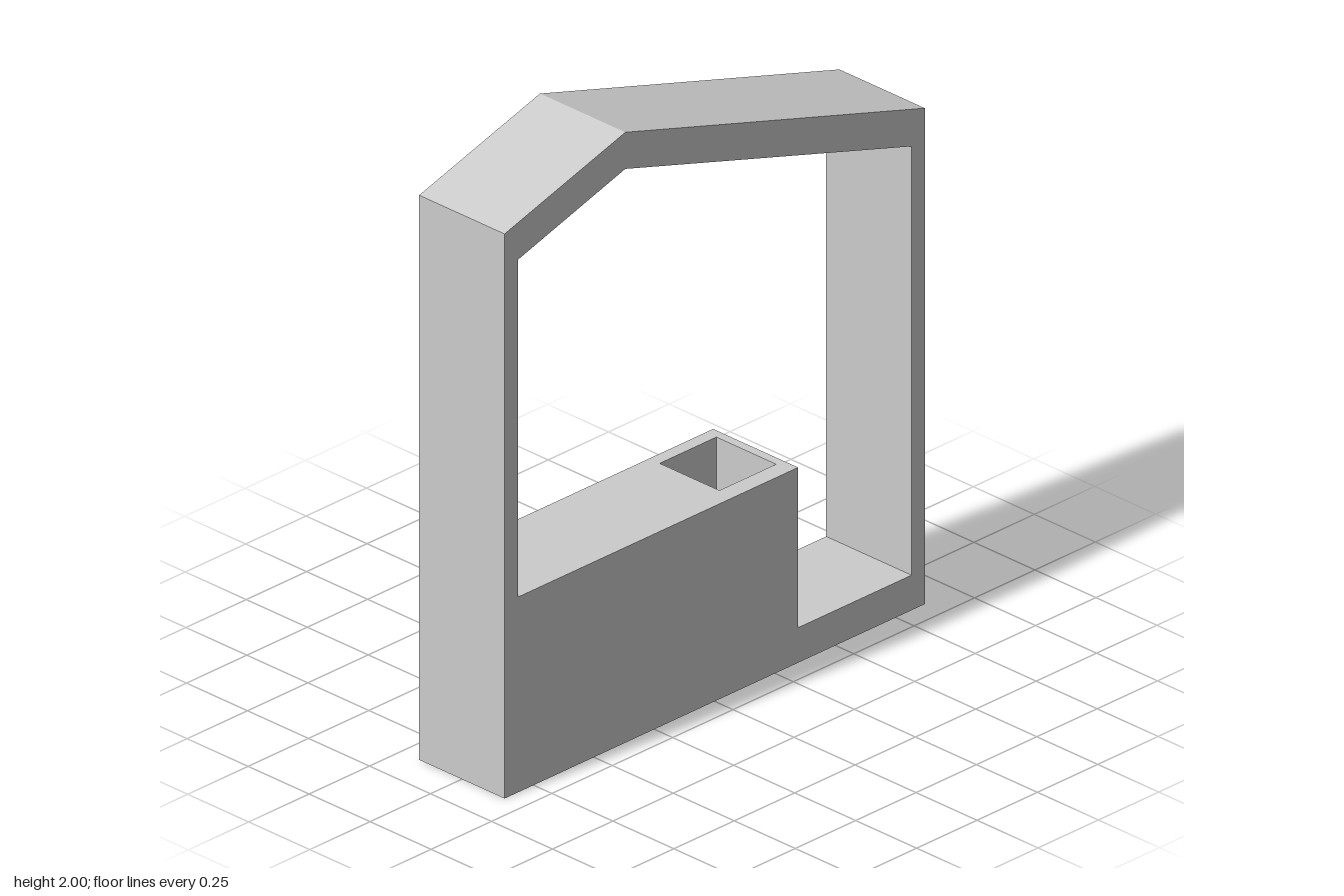
import * as THREE from 'three';

export function createModel() {
  const group = new THREE.Group();
  const mat = new THREE.MeshStandardMaterial({ color: 0xcccccc, flatShading: true });
  const HALF = 0.175, FLOOR = 0.115, TOP = 0.64;
  const BACK = -0.345, FRONT = 0.815;   // cabinet extent along z
  const CORE = -0.16;                   // face of the cabinet body behind its front frame

  const add = (name, geometry, x = 0, y = 0, z = 0) => {
    const mesh = new THREE.Mesh(geometry, mat);
    mesh.name = name;
    mesh.position.set(x, y, z);
    group.add(mesh);
    return mesh;
  };
  const points = list => list.map(([a, b]) => new THREE.Vector2(a, b));
  const rect = (a0, b0, a1, b1) => points([[a0, b0], [a1, b0], [a1, b1], [a0, b1]]);
  const extrude = (outline, hole, depth) => {
    const shape = new THREE.Shape(outline);
    shape.holes.push(new THREE.Path(hole));
    return new THREE.ExtrudeGeometry(shape, { depth, bevelEnabled: false });
  };

  // House-shaped shell: floor, walls and gabled roof, drawn in (z, y)
  const shell = extrude(
    points([[-0.87, 0], [0.87, 0], [0.87, 1.85], [0.37, 2], [-0.87, 1.625]]),
    points([[-0.815, FLOOR], [0.815, FLOOR], [0.815, 1.745], [0.37, 1.88], [-0.815, 1.52]]),
    HALF * 2);
  shell.translate(0, 0, -HALF).rotateY(-Math.PI / 2);
  add('houseShell', shell);

  // Cabinet body with a sink well, drawn in (x, -z)
  const body = extrude(rect(CORE, -FRONT, HALF, -BACK), rect(-0.13, 0.08, 0.115, 0.315), TOP - FLOOR);
  body.rotateX(-Math.PI / 2);
  add('cabinetBody', body, 0, FLOOR, 0);
  add('sinkBottom', new THREE.BoxGeometry(0.245, 0.02, 0.235), -0.0075, 0.42, -0.1975);

  // Front frame: top rail and uprights
  const depth = CORE + HALF - 0.002, frameX = CORE - depth / 2, bar = 0.018;
  add('topRail', new THREE.BoxGeometry(depth, bar, FRONT - BACK), frameX, TOP - bar / 2, (FRONT + BACK) / 2);
  const height = TOP - FLOOR - bar, pitch = (FRONT - BACK - bar) / 4;
  for (let i = 0; i <= 4; i++) {
    const z = BACK + bar / 2 + i * pitch;
    add('upright', new THREE.BoxGeometry(depth, height, bar), frameX, FLOOR + height / 2, z);
    // Recessed doors between the uprights
    if (i < 4) {
      add('door', new THREE.BoxGeometry(0.004, height, pitch - bar), CORE - 0.002, FLOOR + height / 2, z + pitch / 2);
    }
  }
  return group;
}
